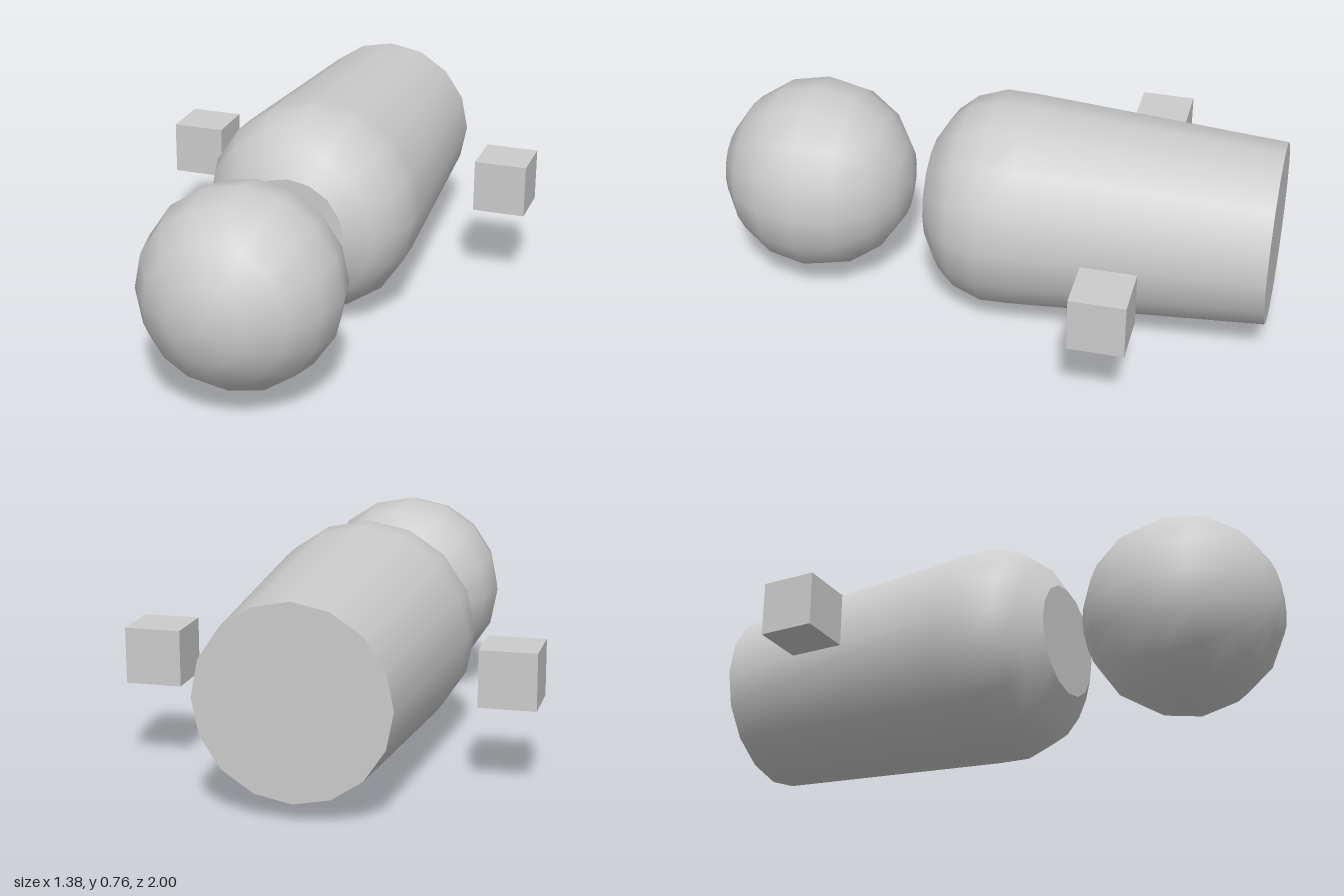
import * as THREE from 'three';

const SIDES = 16;
const AXIS_Y = 0.384; // height of the common long axis

export function createModel() {
  const model = new THREE.Group();
  const material = new THREE.MeshStandardMaterial({ color: 0xcccccc });

  const add = (name, geometry, x, y, z, parent = model) => {
    const mesh = new THREE.Mesh(geometry, material);
    mesh.name = name;
    mesh.position.set(x, y, z);
    parent.add(mesh);
    return mesh;
  };

  // Tapered body with a rounded front shoulder: [radius, z] from back to front
  const profile = [
    [0.32, -1], [0.378, -0.12], [0.381, -0.01],
    [0.345, 0.095], [0.29, 0.16], [0.2, 0.215],
  ].map(([r, z]) => new THREE.Vector2(r, z));
  const body = new THREE.Group();
  body.name = 'body';
  model.add(body);
  add('bodyShell', new THREE.LatheGeometry(profile, SIDES).rotateX(Math.PI / 2), 0, AXIS_Y, 0, body);

  // Flat end caps
  add('frontCap', new THREE.CircleGeometry(0.2, SIDES), 0, AXIS_Y, 0.215, body);
  add('backCap', new THREE.CircleGeometry(0.32, SIDES).rotateY(Math.PI), 0, AXIS_Y, -1, body);

  // Round head floating in front of the body, poles along z
  add('head', new THREE.SphereGeometry(0.347, SIDES, SIDES / 2).rotateX(Math.PI / 2), 0, AXIS_Y, 0.653);

  // Floating side cubes
  for (const side of [-1, 1]) {
    add(side > 0 ? 'leftCube' : 'rightCube', new THREE.BoxGeometry(0.19, 0.19, 0.19), side * 0.595, AXIS_Y + 0.002, -0.503);
  }

  return model;
}
